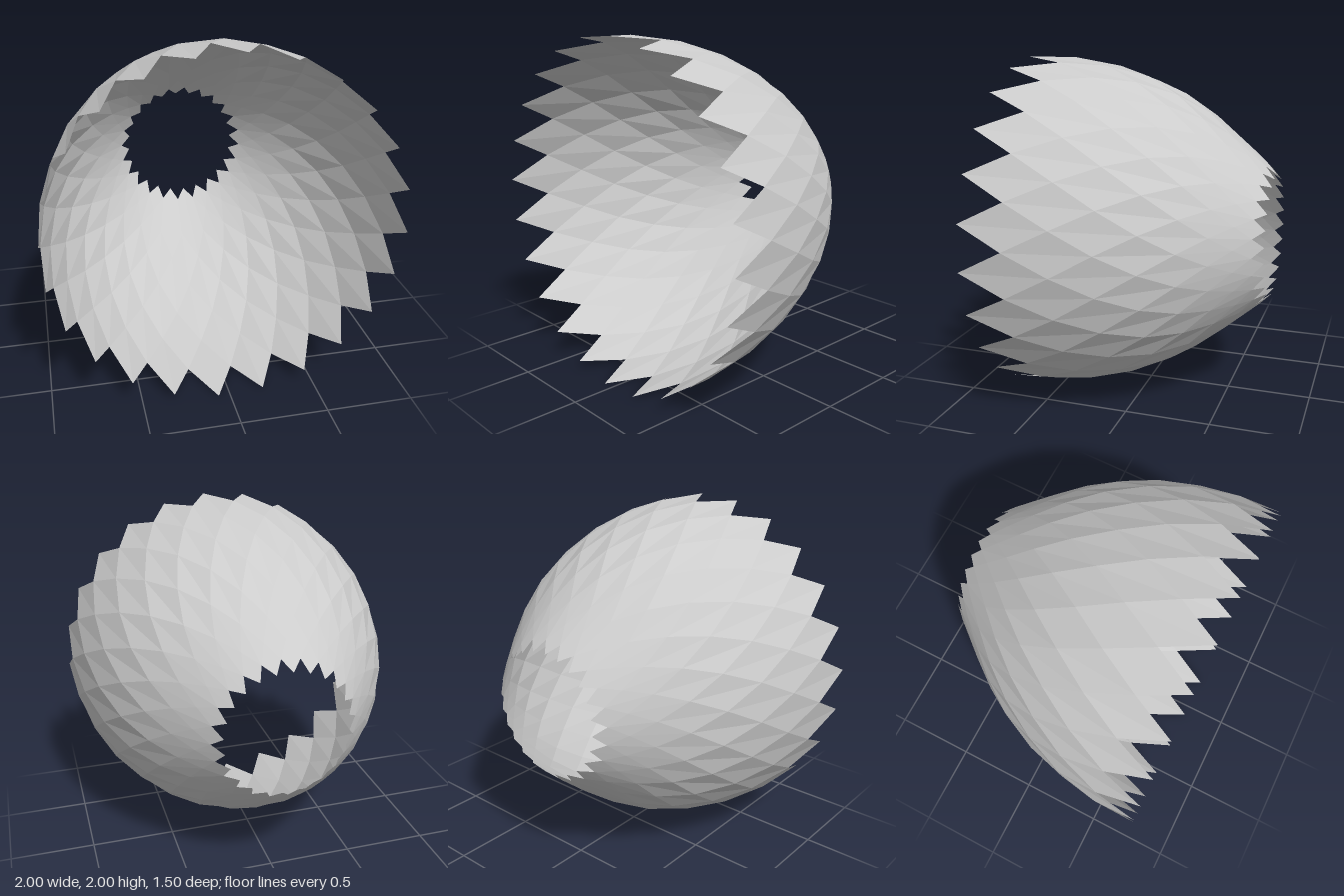
import * as THREE from 'three';

// Rings from the wide front opening to the narrow back one: [radius, z]
const RINGS = [
  [1.0, 0.75], [0.993, 0.5], [0.955, 0.255], [0.89, 0.035], [0.8, -0.17],
  [0.69, -0.345], [0.578, -0.488], [0.482, -0.603], [0.408, -0.69], [0.352, -0.75],
];
const STRIPS = 24;
const STEP = Math.PI / STRIPS; // half the spacing of the points on a ring
const START = 1.5 * STEP;

function ringPoint(ring, angle) {
  const [r, z] = RINGS[ring];
  return [r * Math.cos(angle), r * Math.sin(angle), z];
}

// One spiral band, a single rhombus wide; its slanted ends form the teeth
function createStripGeometry() {
  const positions = [], indices = [];
  const rows = RINGS.length - 1;
  for (let k = 0; k < rows; k++) {
    const angle = START + k * STEP;
    positions.push(...ringPoint(k, angle), ...ringPoint(k + 1, angle - STEP));
    if (k < rows - 1) {
      const a = 2 * k;
      indices.push(a, a + 1, a + 3, a, a + 3, a + 2);
    }
  }
  // Last tooth follows from the final row's slanted edge
  const geometry = new THREE.BufferGeometry();
  geometry.setAttribute('position', new THREE.Float32BufferAttribute(positions, 3));
  geometry.setIndex(indices);
  geometry.computeVertexNormals();
  return geometry;
}

export function createModel() {
  const model = new THREE.Group();
  model.name = 'spiralLampshade';
  const material = new THREE.MeshStandardMaterial({
    color: 0xcccccc, side: THREE.DoubleSide, flatShading: true,
  });
  const geometry = createStripGeometry();

  // Identical bands turned about the z axis close the shell
  for (let i = 0; i < STRIPS; i++) {
    const strip = new THREE.Mesh(geometry, material);
    strip.name = `spiralStrip${i + 1}`;
    strip.position.y = 1;
    strip.rotation.z = i * 2 * STEP;
    model.add(strip);
  }
  return model;
}
